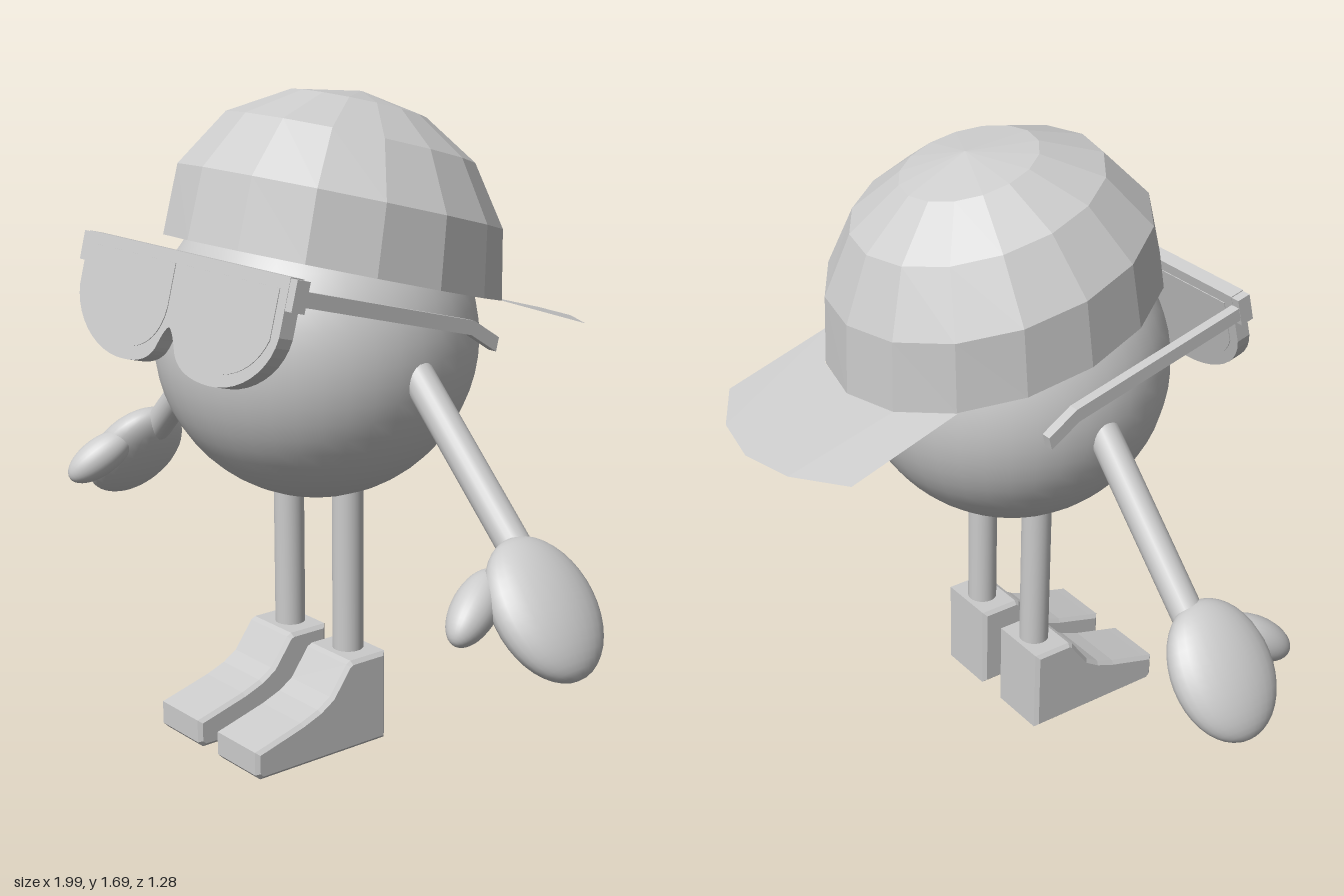
import * as THREE from 'three';

const smooth = new THREE.MeshStandardMaterial({ color: 0xcccccc });
const flat = new THREE.MeshStandardMaterial({ color: 0xcccccc, flatShading: true, side: THREE.DoubleSide });
const TILT = -0.255; // shared backward lean of cap and glasses

function add(parent, name, geometry, material = smooth) {
  const mesh = new THREE.Mesh(geometry, material);
  mesh.name = name;
  parent.add(mesh);
  return mesh;
}

const toShape = (pts) => new THREE.Shape(pts.map(([x, y]) => new THREE.Vector2(x, y)));

// Extrudes a side profile given as [z, y] across x
function sideExtrude(pts, x, width, bevel = 0) {
  return new THREE.ExtrudeGeometry(toShape(pts), {
    depth: width - 2 * bevel, bevelEnabled: bevel > 0, bevelSize: bevel,
    bevelThickness: bevel, bevelOffset: -bevel, bevelSegments: 1,
  }).translate(0, 0, bevel - width / 2).rotateY(-Math.PI / 2).translate(x, 0, 0);
}

// Round-ended rod between two points
function rod(parent, name, a, b, r) {
  const d = b.clone().sub(a);
  const mesh = add(parent, name, new THREE.CapsuleGeometry(r, d.length() - 2 * r, 8, 20));
  mesh.position.copy(a).add(b).multiplyScalar(0.5);
  mesh.quaternion.setFromUnitVectors(new THREE.Vector3(0, 1, 0), d.normalize());
}

function ellipsoid(parent, name, pos, radii, dir) {
  const mesh = add(parent, name, new THREE.SphereGeometry(1, 28, 20));
  mesh.scale.set(...radii);
  mesh.position.set(...pos);
  mesh.quaternion.setFromUnitVectors(new THREE.Vector3(0, 1, 0), new THREE.Vector3(...dir).normalize());
}

function makeCap() {
  const cap = new THREE.Group();
  cap.name = 'cap';

  // Faceted dome: each ring has its own height, radii and forward shift
  const height = [0.454, 0.42, 0.331, 0.18, 0];
  const radX = [0, 0.17, 0.31, 0.41, 0.415];
  const radZ = [0, 0.184, 0.339, 0.438, 0.466];
  const shift = [0.023, 0.026, 0.029, 0.0245, 0];
  const dome = new THREE.SphereGeometry(1, 16, 4, 0, Math.PI * 2, 0, Math.PI / 2);
  const p = dome.attributes.position;
  for (let i = 0; i < p.count; i++) {
    const ring = Math.floor(i / 17), a = ((i % 17) / 16) * Math.PI * 2;
    p.setXYZ(i, -Math.cos(a) * radX[ring], height[ring], Math.sin(a) * radZ[ring] + shift[ring]);
  }
  dome.computeVertexNormals();
  const mesh = add(cap, 'capDome', dome, flat);
  mesh.position.set(0, 1.235, 0.105);
  mesh.rotation.x = TILT;

  // Thin brim at the back, from the dome's rim to a pointed outer edge
  const outer = [[-0.3, 1.052, -0.52], [-0.155, 1.04, -0.61], [0, 1.035, -0.64], [0.155, 1.04, -0.61], [0.3, 1.052, -0.52]];
  const pos = [], index = [];
  outer.forEach((o, i) => {
    const a = ((i - 2) * Math.PI) / 8, u = -0.466 * Math.cos(a);
    pos.push(0.42 * Math.sin(a), 1.235 + u * 0.252, 0.105 + u * 0.968, ...o);
    const k = i * 2;
    if (i < 4) index.push(k, k + 2, k + 1, k + 1, k + 2, k + 3);
  });
  const brim = new THREE.BufferGeometry();
  brim.setAttribute('position', new THREE.Float32BufferAttribute(pos, 3));
  brim.setIndex(index);
  brim.computeVertexNormals();
  add(cap, 'capBrim', brim, flat);
  return cap;
}

function makeGlasses() {
  const glasses = new THREE.Group();
  glasses.name = 'glasses';
  glasses.position.set(0, 1.315, 0.53);
  glasses.rotation.x = TILT;

  // Joined frame with two rounded lobes and a nose notch
  const frame = new THREE.Shape();
  frame.moveTo(-0.43, 0);
  frame.lineTo(-0.43, -0.14);
  frame.bezierCurveTo(-0.42, -0.22, -0.32, -0.29, -0.2, -0.293);
  frame.bezierCurveTo(-0.1, -0.295, -0.05, -0.27, -0.035, -0.23);
  frame.quadraticCurveTo(-0.015, -0.19, 0, -0.185);
  frame.quadraticCurveTo(0.015, -0.19, 0.035, -0.23);
  frame.bezierCurveTo(0.05, -0.27, 0.1, -0.295, 0.2, -0.293);
  frame.bezierCurveTo(0.32, -0.29, 0.42, -0.22, 0.43, -0.14);
  frame.lineTo(0.43, 0);
  add(glasses, 'glassesFrame', new THREE.ExtrudeGeometry(frame, {
    depth: 0.04, bevelEnabled: false, curveSegments: 10,
  }));

  for (const s of [-1, 1]) {
    // Lens plate standing just proud of the frame
    const lens = new THREE.Shape();
    lens.moveTo(s * 0.02, -0.03);
    lens.lineTo(s * 0.4, -0.03);
    lens.lineTo(s * 0.4, -0.15);
    lens.bezierCurveTo(s * 0.37, -0.22, s * 0.29, -0.26, s * 0.2, -0.262);
    lens.bezierCurveTo(s * 0.1, -0.262, s * 0.03, -0.22, s * 0.02, -0.14);
    add(glasses, 'lens', new THREE.ExtrudeGeometry(lens, {
      depth: 0.044, bevelEnabled: false, curveSegments: 10,
    })).position.z = -0.002;

    // Hinge block and temple with a bent tip
    const hinge = add(glasses, 'hinge', new THREE.BoxGeometry(0.03, 0.075, 0.038));
    hinge.position.set(s * 0.44, -0.04, 0.02);
    const temple = [[0.03, -0.062], [-0.525, -0.062], [-0.618, -0.092], [-0.618, -0.056], [-0.525, -0.026], [0.03, -0.026]];
    add(glasses, 'temple', sideExtrude(temple, s * 0.44, 0.027));
  }
  return glasses;
}

export function createModel() {
  const model = new THREE.Group();
  model.name = 'roundFigure';

  add(model, 'body', new THREE.SphereGeometry(0.42, 40, 28)).position.set(0, 1.065, 0.163);
  model.add(makeCap(), makeGlasses());

  const footProfile = [[0.108, 0.005], [0.515, 0.005], [0.53, 0.02], [0.53, 0.082], [0.5, 0.09],
    [0.385, 0.122], [0.33, 0.143], [0.29, 0.168], [0.235, 0.243], [0.222, 0.25], [0.108, 0.25]];

  for (const s of [-1, 1]) {
    const side = s > 0 ? 'left' : 'right';
    // Leg and wedge-shaped shoe
    const leg = add(model, side + 'Leg', new THREE.CylinderGeometry(0.041, 0.041, 0.54, 24));
    leg.position.set(s * 0.126, 0.47, 0.163);
    add(model, side + 'Shoe', sideExtrude(footProfile, s * 0.127, 0.183, 0.01));

    // Arm, mitten hand and thumb
    rod(model, side + 'Arm', new THREE.Vector3(s * 0.36, 1.065, 0.16), new THREE.Vector3(s * 0.8, 0.63, 0.16), 0.042);
    ellipsoid(model, side + 'Hand', [s * 0.867, 0.57, 0.18], [0.075, 0.182, 0.146], [s * -0.64, 0.77, 0]);
    ellipsoid(model, side + 'Thumb', [s > 0 ? 0.79 : -0.825, 0.585, 0.325], [0.055, 0.11, 0.055], [s * 0.25, -0.5, 0.75]);
  }
  // Rest the soles on the ground
  model.children.filter((c) => c.name.endsWith('Shoe')).forEach((c) => { c.position.y = -0.005; });
  return model;
}
